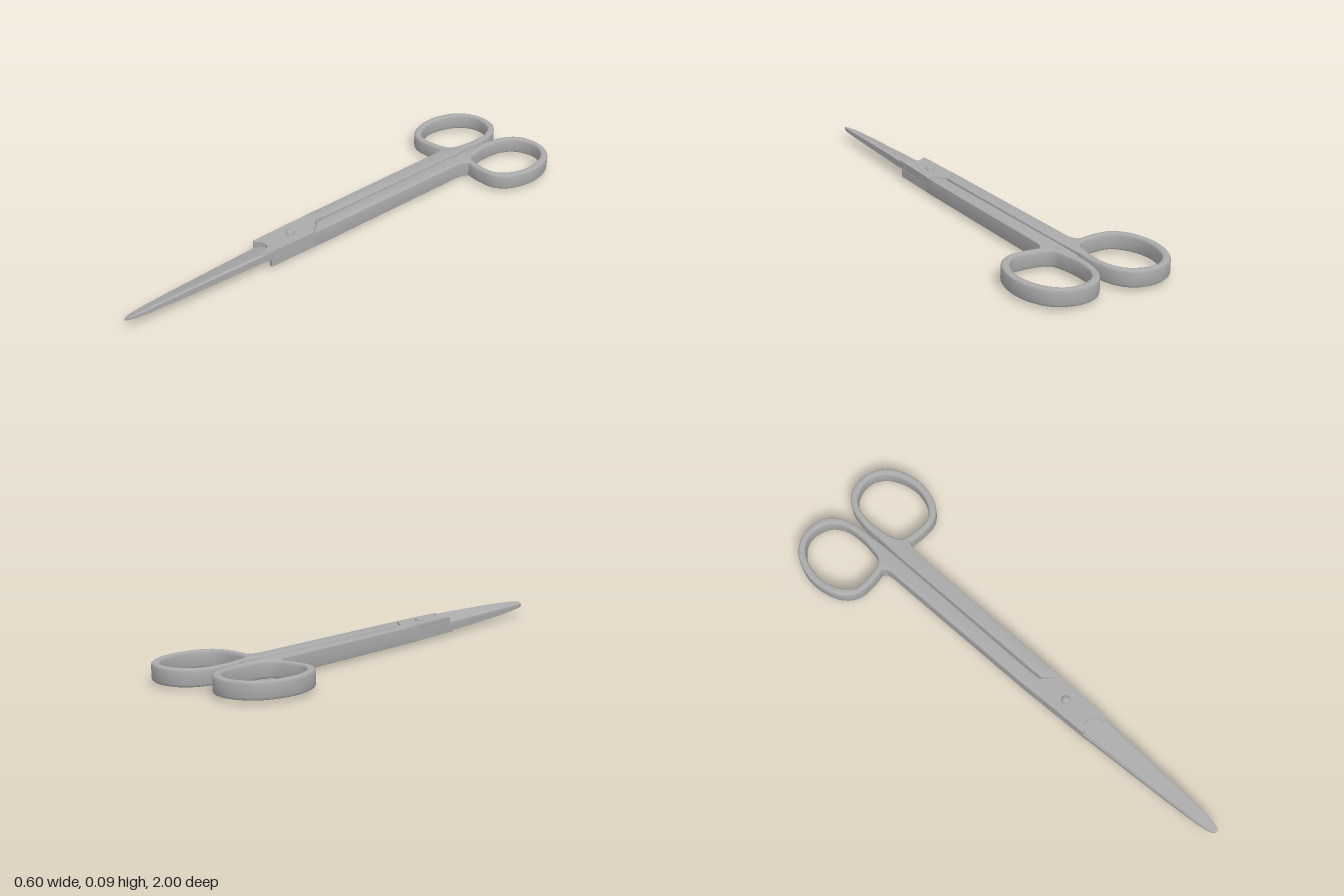
import * as THREE from 'three';
import { toCreasedNormals } from 'three/addons/utils/BufferGeometryUtils.js';

const steel = new THREE.MeshStandardMaterial({ color: 0xa9aaa9 });
steel.name = 'steel';

const toVectors = (pts) => pts.map(([x, z]) => new THREE.Vector2(x, z));

// closed smooth outline through a few points
function smoothLoop(pts, n) {
  const curve = new THREE.CatmullRomCurve3(pts.map(([x, z]) => new THREE.Vector3(x, z, 0)), true);
  return curve.getSpacedPoints(n).slice(0, n).map((p) => new THREE.Vector2(p.x, p.y));
}

// flat plate: outline in (x, z), between two heights, with softened edges
function plate(name, outline, bottom, top, bevel, hole) {
  const shape = new THREE.Shape(outline);
  if (hole) shape.holes.push(new THREE.Path(hole));
  const geo = new THREE.ExtrudeGeometry(shape, {
    depth: top - bottom - 2 * bevel, bevelEnabled: bevel > 0, bevelThickness: bevel,
    bevelSize: bevel, bevelOffset: -bevel, bevelSegments: 3,
  });
  geo.rotateX(Math.PI / 2);
  geo.translate(0, top - bevel, 0);
  const mesh = new THREE.Mesh(toCreasedNormals(geo, 0.6), steel);
  mesh.name = name;
  return mesh;
}

// tapering blade lofted from wedge sections: [z, half width, height]
function blade() {
  const stations = [[0.36, 0.053, 0.029], [0.5, 0.046, 0.029], [0.65, 0.039, 0.026], [0.8, 0.032, 0.022],
    [0.92, 0.024, 0.016], [0.965, 0.019, 0.013], [0.99, 0.012, 0.01], [1.0, 0.005, 0.007]];
  const section = (w, h) => [[-0.88 * w, 0], [0.1 * w, 0.12 * h], [w, 0],
    [w, 0.9 * h], [0.75 * w, h], [0.2 * w, 0.8 * h], [-0.88 * w, 0.2 * h]];
  const pos = [], idx = [], k = 7;
  for (const [z, w, h] of stations) for (const [x, y] of section(w, h)) pos.push(x, y, z);
  for (let s = 0; s < stations.length - 1; s++) {
    for (let i = 0; i < k; i++) {
      const a = s * k + i, b = s * k + (i + 1) % k;
      idx.push(a, b, b + k, a, b + k, a + k);
    }
  }
  const last = (stations.length - 1) * k;
  for (let i = 1; i < k - 1; i++) {
    idx.push(0, i + 1, i, last, last + i, last + i + 1);
  }
  const geo = new THREE.BufferGeometry();
  geo.setAttribute('position', new THREE.Float32BufferAttribute(pos, 3));
  geo.setIndex(idx);
  const mesh = new THREE.Mesh(toCreasedNormals(geo, 0.4), steel);
  mesh.name = 'blade';
  return mesh;
}

// one half: finger ring, shank, half-thickness joint and blade
function half(name) {
  const g = new THREE.Group();
  g.name = name;
  const outer = smoothLoop([[-0.15, -0.995], [-0.08, -0.98], [-0.033, -0.93], [-0.011, -0.85], [-0.008, -0.75],
    [-0.016, -0.68], [-0.08, -0.65], [-0.155, -0.64], [-0.22, -0.648], [-0.272, -0.695],
    [-0.3, -0.79], [-0.293, -0.87], [-0.257, -0.945], [-0.21, -0.98]], 72);
  const inner = smoothLoop([[-0.15, -0.968], [-0.08, -0.943], [-0.046, -0.89], [-0.037, -0.82], [-0.043, -0.75],
    [-0.062, -0.69], [-0.14, -0.668], [-0.21, -0.675], [-0.255, -0.73],
    [-0.272, -0.81], [-0.245, -0.91], [-0.2, -0.955]], 60);
  g.add(plate('fingerRing', outer, -0.032, 0.032, 0.009, inner));

  g.add(plate('shank', toVectors([[-0.09, -0.655], [-0.06, -0.68], [-0.035, -0.74], [-0.008, -0.77], [-0.004, -0.65],
    [-0.006, 0.12], [-0.058, 0.178], [-0.061, 0.1], [-0.065, -0.61], [-0.07, -0.635]]), -0.032, 0.032, 0.003));

  // joint crosses over to the other side; its front edge is scooped above the blade
  g.add(plate('joint', toVectors([[-0.061, 0.08], [-0.006, 0.08], [-0.005, 0.12], [0.058, 0.178], [0.051, 0.4],
    [0.045, 0.42], [0.034, 0.415], [0.028, 0.392], [0.015, 0.374], [-0.005, 0.365],
    [-0.025, 0.37], [-0.04, 0.384], [-0.054, 0.387], [-0.058, 0.178]]), 0, 0.032, 0));

  g.add(blade());
  return g;
}

// domed rivet head; sign picks top or bottom
function rivetHead(name, radius, height, sign) {
  const mesh = new THREE.Mesh(new THREE.SphereGeometry(radius, 24, 16), steel);
  mesh.scale.y = height / radius;
  mesh.position.set(0, sign * 0.031, 0.25);
  mesh.name = name;
  return mesh;
}

export function createModel() {
  const model = new THREE.Group();
  model.name = 'scissors';
  const body = new THREE.Group();
  body.name = 'closedScissors';

  const upper = half('upperHalf');
  const lower = half('lowerHalf');
  lower.rotation.z = Math.PI;
  body.add(upper, lower);
  body.add(rivetHead('rivetTop', 0.018, 0.017, 1), rivetHead('rivetBottom', 0.014, 0.013, -1));

  body.position.set(-0.0217, 0.044, 0);
  body.rotation.y = -0.024;
  model.add(body);
  return model;
}
